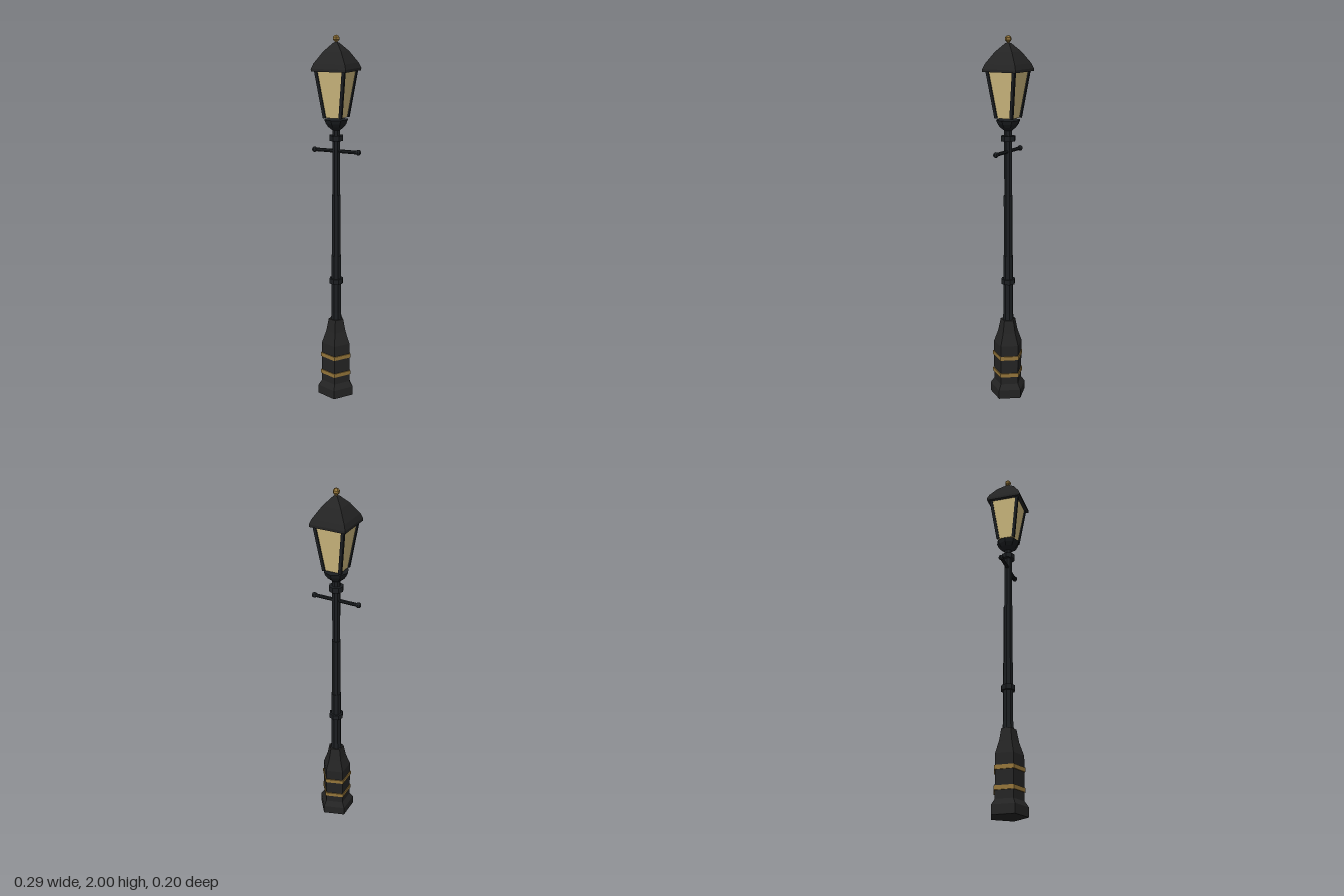
import * as THREE from 'three';

const paint = (name, color) => {
  const m = new THREE.MeshStandardMaterial({ color });
  m.name = name;
  return m;
};

export function createModel() {
  const iron = paint('castIron', 0x242424);
  const post = paint('darkPost', 0x1b1e21);
  const brass = paint('agedBrass', 0x94753a);
  const glass = paint('warmGlass', 0xd0bb80);

  const lamp = new THREE.Group();
  lamp.name = 'streetLamp';

  // Faceted mesh: split the faces so that each has its own normal
  const add = (name, geometry, material) => {
    const g = geometry.index ? geometry.toNonIndexed() : geometry;
    g.computeVertexNormals();
    const mesh = new THREE.Mesh(g, material);
    mesh.name = name;
    lamp.add(mesh);
    return mesh;
  };

  // Closed turned part with few sides; profile is [radius, y] from bottom to top
  const turned = (name, profile, sides, material, start = Math.PI / 2) => {
    const pts = [[0, profile[0][1]], ...profile, [0, profile.at(-1)[1]]];
    return add(name, new THREE.LatheGeometry(
      pts.map(([r, y]) => new THREE.Vector2(r, y)), sides, start), material);
  };

  // Square part given by half width
  const square = (name, profile, material) =>
    turned(name, profile.map(([r, y]) => [r * Math.SQRT2, y]), 4, material, Math.PI / 4);

  // Five-sided pedestal with two brass bands
  turned('pedestal', [[0.103, 0], [0.103, 0.05], [0.082, 0.08], [0.082, 0.31],
    [0.057, 0.38], [0.043, 0.45]], 5, iron);
  for (const y of [0.135, 0.238]) {
    turned('pedestalBand', [[0.088, y - 0.011], [0.088, y + 0.011]], 5, brass);
  }

  // Stepped pole and its collars
  turned('pole', [[0.032, 0.44], [0.028, 0.49], [0.028, 0.82], [0.025, 0.82],
    [0.025, 1.16], [0.022, 1.16], [0.022, 1.53]], 8, post);
  for (const y of [0.675, 1.47]) {
    turned('poleCollar', [[0.039, y - 0.014], [0.039, y + 0.014]], 8, post);
  }

  // Ladder rest with ball ends
  const bar = add('ladderRest', new THREE.CylinderGeometry(0.01, 0.01, 0.254, 8), post);
  bar.rotation.z = Math.PI / 2;
  bar.position.y = 1.4;
  for (const side of [-1, 1]) {
    add('ladderRestBall', new THREE.SphereGeometry(0.015, 8, 6), post)
      .position.set(side * 0.128, 1.4, 0);
  }

  // Bowl below the lantern
  turned('lanternBowl', [[0.022, 1.512], [0.045, 1.53], [0.058, 1.548], [0.066, 1.568]], 8, post);

  // Tapered glass box with a bar on each corner
  square('lanternGlass', [[0.046, 1.578], [0.079, 1.82]], glass);
  for (const sx of [-1, 1]) {
    for (const sz of [-1, 1]) {
      const a = new THREE.Vector3(sx * 0.045, 1.578, sz * 0.045);
      const b = new THREE.Vector3(sx * 0.078, 1.822, sz * 0.078);
      const rail = add('lanternCornerBar',
        new THREE.BoxGeometry(0.016, a.distanceTo(b), 0.016), post);
      rail.position.copy(a).lerp(b, 0.5);
      rail.quaternion.setFromUnitVectors(new THREE.Vector3(0, 1, 0), b.sub(a).normalize());
    }
  }

  // Hipped roof with a small finial
  square('roof', [[0.098, 1.818], [0.098, 1.832], [0.088, 1.858], [0.05, 1.918],
    [0.012, 1.96], [0.004, 1.964]], iron);
  turned('finialStem', [[0.007, 1.955], [0.007, 1.975]], 6, brass);
  turned('finialBall', [[0.009, 1.966], [0.018, 1.976], [0.018, 1.988], [0.009, 1.998],
    [0.001, 2]], 5, brass);

  return lamp;
}
